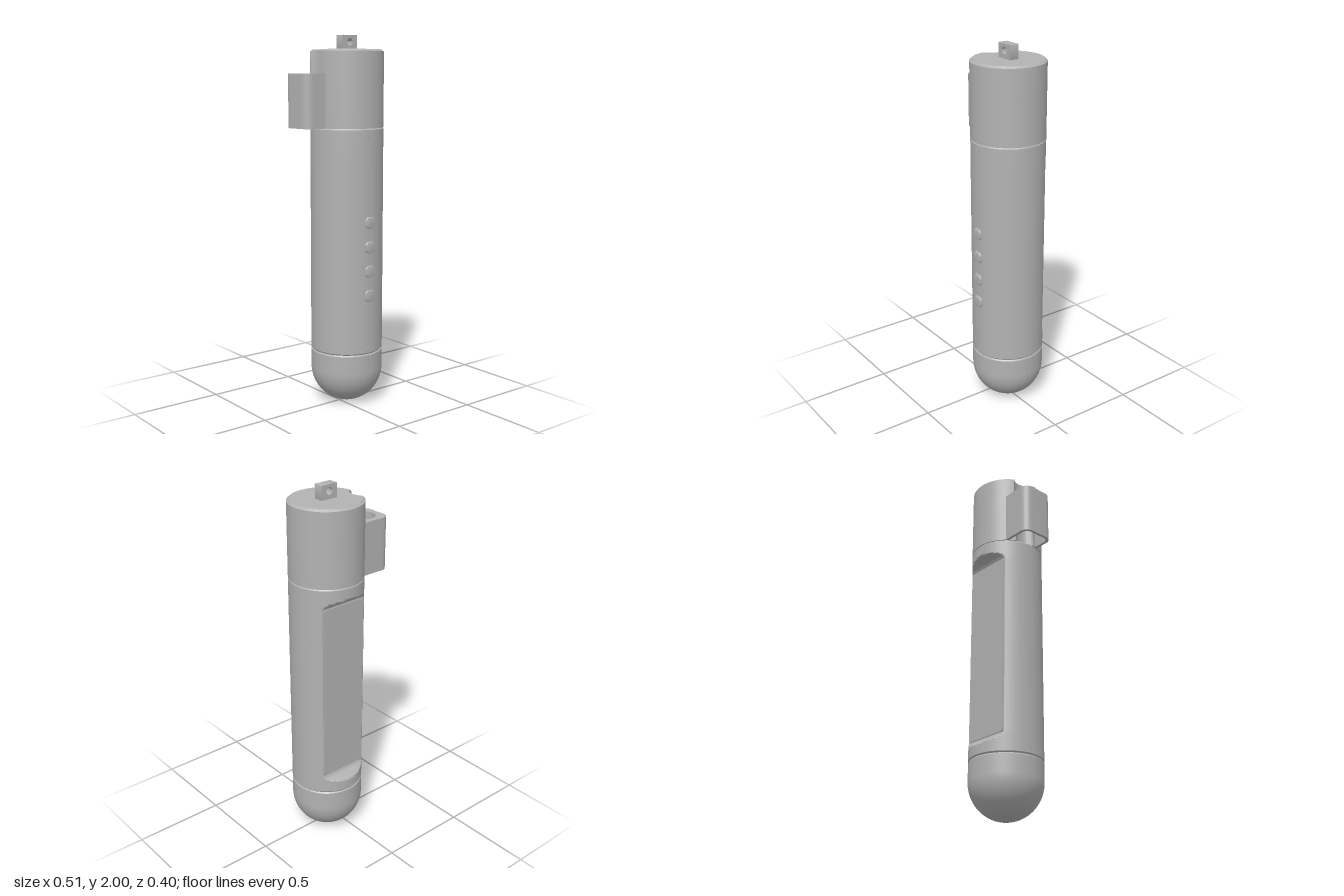
import * as THREE from 'three';
import { toCreasedNormals } from 'three/addons/utils/BufferGeometryUtils.js';

const CX = 0.055, CZ = -0.006, R = 0.196;   // main tube axis and radius
const HX = -0.16, HZ = -0.045;              // clip hole centre

export function createModel() {
  const group = new THREE.Group();
  const grey = new THREE.MeshStandardMaterial({ color: 0xb2b2b2 });
  grey.name = 'plain grey';

  const add = (name, geometry, x = 0, y = 0, z = 0, crease = 0.5) => {
    const mesh = new THREE.Mesh(toCreasedNormals(geometry, crease), grey);
    mesh.name = name;
    mesh.position.set(x, y, z);
    group.add(mesh);
    return mesh;
  };
  const lathe = (pts) => new THREE.LatheGeometry(pts.map(([r, y]) => new THREE.Vector2(r, y)), 144);
  const extrude = (shape, depth, options = {}) =>
    new THREE.ExtrudeGeometry(shape, { depth, bevelEnabled: false, curveSegments: 48, ...options });
  // extrude a plan outline (shape y = -z) upwards
  const raise = (shape, depth) => extrude(shape, depth).rotateX(-Math.PI / 2);

  const roundedRect = (w, h, r) => {
    const s = new THREE.Shape(), x = w / 2 - r, y = h / 2 - r, q = Math.PI / 2;
    s.absarc(x, y, r, 0, q);
    s.absarc(-x, y, r, q, 2 * q);
    s.absarc(-x, -y, r, 2 * q, 3 * q);
    s.absarc(x, -y, r, 3 * q, 4 * q);
    s.closePath();
    return s;
  };
  const circleHole = (x, y, r) => new THREE.Path().absarc(x, y, r, 0, Math.PI * 2, true);

  // rounded bottom end
  const dome = [];
  for (let i = 0; i <= 24; i++) {
    const a = (i / 24) * Math.PI / 2;
    dome.push([R * Math.sin(a), 0.2 - 0.2 * Math.cos(a)]);
  }
  dome.push([R, 0.295], [R - 0.006, 0.302], [0, 0.302]);
  add('bottomDome', lathe(dome), CX, 0, CZ);

  // tube body, with the back pressed in to a flat pocket with ramped ends
  const ramp = [[0.36, -0.2], [0.368, -0.19], [0.376, -0.173], [0.385, -0.156], [0.395, -0.144], [0.408, -0.137]];
  const back = [...ramp, ...ramp.map(([y, z]) => [1.815 - y, z]).reverse()];
  const body = lathe([[0, 0.302], [R - 0.006, 0.302], [R, 0.309],
    ...back.map(([y]) => [R, y]), [R, 1.51], [R - 0.006, 1.517], [0, 1.517]]);
  const p = body.attributes.position;
  for (let i = 0; i < p.count; i++) {
    const row = back.find(([y]) => Math.abs(y - p.getY(i)) < 1e-4);
    if (row) p.setZ(i, Math.max(p.getZ(i), row[1]));
  }
  add('body', body, CX, 0, CZ, 0.35);

  // back panel in the pocket
  add('backPanel', extrude(roundedRect(0.264, 0.99, 0.015), 0.006), CX, 0.9075, CZ - 0.142);

  // top cap with a round notch beside the clip
  const capShape = (r) => {
    const dx = HX - CX, dy = CZ - HZ, d = Math.hypot(dx, dy), base = Math.atan2(dy, dx);
    const a = Math.acos((R * R + d * d - r * r) / (2 * R * d));
    const b = Math.acos((r * r + d * d - R * R) / (2 * r * d));
    const s = new THREE.Shape();
    s.absarc(CX, -CZ, R, base + a, base - a + Math.PI * 2, false);
    s.absarc(HX, -HZ, r, base + Math.PI + b, base + Math.PI - b, true);
    return s;
  };
  add('capLower', raise(capShape(0.062), 0.283), 0, 1.517);
  add('capUpper', raise(capShape(0.073), 0.115), 0, 1.8);
  const rim = raise(capShape(0.073), 0.01);
  const q = rim.attributes.position;
  for (let i = 0; i < q.count; i++) {
    if (q.getY(i) < 0.005) continue;
    const x = q.getX(i) - CX, z = q.getZ(i) - CZ;
    const k = Math.min(1, (R - 0.012) / Math.hypot(x, z));
    q.setX(i, CX + x * k);
    q.setZ(i, CZ + z * k);
  }
  add('capRim', rim, 0, 1.915);

  // hanging tab with an eyelet
  const tab = roundedRect(0.098, 0.08, 0.001);
  tab.holes.push(circleHole(0, 0.005, 0.019));
  add('hangingTab', extrude(tab, 0.053), 0.054, 1.96, -0.033);

  // side clip: hollow sleeve with a holed top
  const outline = (path, inset, r) => {
    const x0 = -0.255 + inset, lo = -0.05 + inset, hi = 0.14 - inset;
    path.moveTo(-0.08, hi);
    path.lineTo(x0 + r, hi);
    path.absarc(x0 + r, hi - r, r, Math.PI / 2, Math.PI);
    path.absarc(x0 + r, lo + r, r, Math.PI, Math.PI * 1.5);
    path.lineTo(-0.08, lo);
    return path;
  };
  const plate = outline(new THREE.Shape(), 0, 0.045);
  plate.holes.push(circleHole(HX, -HZ, 0.062));
  add('clipTop', raise(plate, 0.03), 0, 1.77);
  const sleeve = outline(new THREE.Shape(), 0, 0.045);
  const inner = outline(new THREE.Path(), 0.015, 0.03).getPoints(24).reverse();
  inner.forEach((v) => sleeve.lineTo(v.x, v.y));
  add('clipSleeve', raise(sleeve, 0.253), 0, 1.517);

  // front buttons
  for (const y of [0.625, 0.757, 0.889, 1.021]) {
    const key = extrude(roundedRect(0.046, 0.046, 0.014), 0.02,
      { bevelEnabled: true, bevelThickness: 0.005, bevelSize: 0.008, bevelSegments: 2, curveSegments: 8 });
    add('button', key, CX, y, 0.175);
  }

  // front screws
  for (const y of [0.33, 1.487]) {
    const ring = new THREE.Shape().absarc(0, 0, 0.015, 0, Math.PI * 2);
    ring.holes.push(circleHole(0, 0, 0.008));
    add('screw', extrude(ring, 0.008, { curveSegments: 16 }), CX, y, 0.184);
  }

  return group;
}
